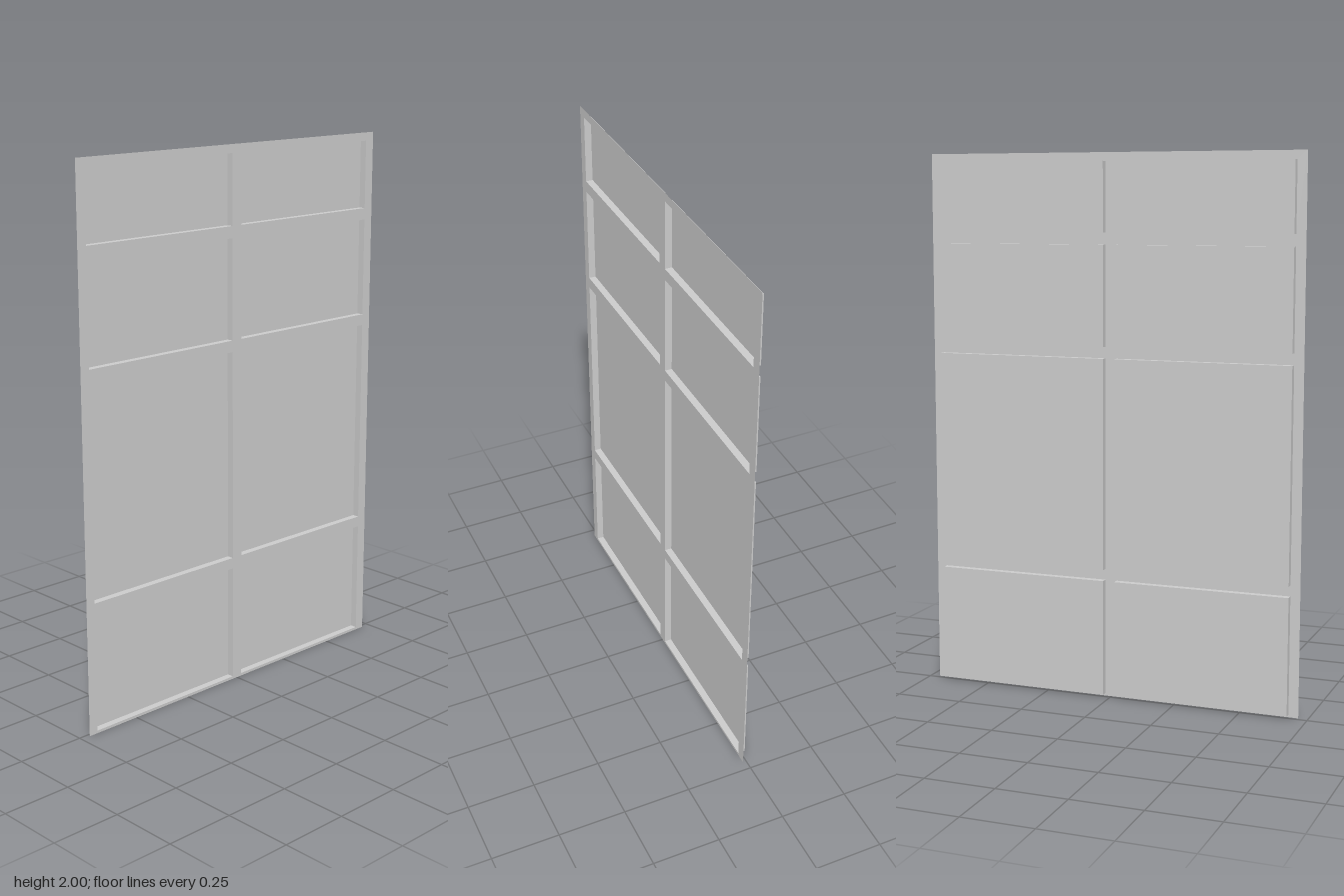
import * as THREE from 'three';

export function createModel() {
  const group = new THREE.Group();
  const material = new THREE.MeshStandardMaterial({ color: 0xcccccc, side: THREE.DoubleSide, flatShading: true });
  const halfWidth = 0.715, height = 2, faceX = 0.013, depth = 0.026;
  const columns = [[-0.676, -0.023], [0.021, 0.679]]; // z ranges
  const rows = [[0.01, 0.443], [0.484, 1.264], [1.306, 1.673], [1.716, 1.969]]; // y ranges

  // Outline in (-z, y); turned afterwards to face +x
  const rectangle = (path, u0, u1, v0, v1) =>
    path.moveTo(u0, v0).lineTo(u1, v0).lineTo(u1, v1).lineTo(u0, v1).closePath();
  const outline = new THREE.Shape();
  rectangle(outline, -halfWidth, halfWidth, 0, height);

  for (const [z0, z1] of columns) {
    for (const [y0, y1] of rows) {
      const hole = new THREE.Path();
      rectangle(hole, -z1, -z0, y0, y1);
      outline.holes.push(hole);

      // Recessed panel: a shallow tray, open towards +x (first box face dropped)
      const tray = new THREE.BoxGeometry(depth, y1 - y0, z1 - z0);
      tray.setIndex(Array.from(tray.index.array).slice(6));
      tray.clearGroups();
      const panel = new THREE.Mesh(tray, material);
      panel.name = 'recessedPanel';
      panel.position.set(faceX - depth / 2, (y0 + y1) / 2, (z0 + z1) / 2);
      group.add(panel);
    }
  }

  // Thin sheet frame around the panels
  const sheet = new THREE.ShapeGeometry(outline);
  sheet.rotateY(Math.PI / 2);
  sheet.translate(faceX, 0, 0);
  const frame = new THREE.Mesh(sheet, material);
  frame.name = 'frame';
  group.add(frame);

  return group;
}
